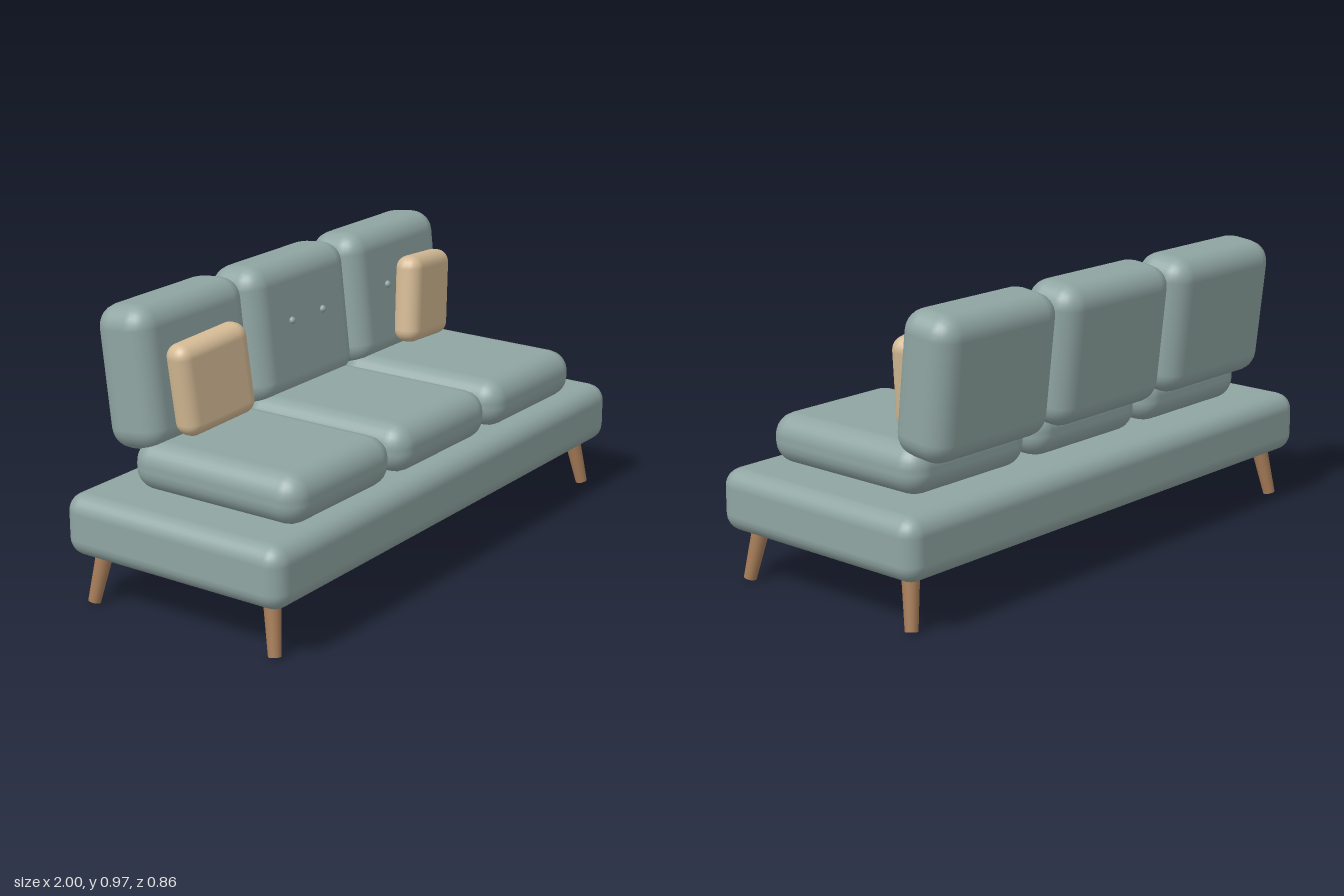
import * as THREE from 'three';
import { RoundedBoxGeometry } from 'three/addons/geometries/RoundedBoxGeometry.js';

const material = (name, color) => {
  const m = new THREE.MeshStandardMaterial({ color });
  m.name = name;
  return m;
};

export function createModel() {
  const fabric = material('sage fabric', 0x8fa5a2);
  const tan = material('tan fabric', 0xd3b994);
  const wood = material('wood', 0xa67c58);

  const sofa = new THREE.Group();
  sofa.name = 'sofa';

  const add = (parent, name, geometry, mat, x, y, z) => {
    const mesh = new THREE.Mesh(geometry, mat);
    mesh.name = name;
    mesh.position.set(x, y, z);
    parent.add(mesh);
    return mesh;
  };

  // Wide padded platform
  add(sofa, 'base', new RoundedBoxGeometry(2, 0.21, 0.86, 3, 0.06), fabric, 0, 0.275, 0);

  // Three seat cushions, each with a leaning, buttoned back cushion
  const seatGeo = new RoundedBoxGeometry(0.54, 0.168, 0.665, 3, 0.075);
  const backGeo = new RoundedBoxGeometry(0.54, 0.475, 0.215, 3, 0.075);
  const buttonGeo = new THREE.SphereGeometry(0.013, 12, 8);
  for (const x of [-0.567, 0, 0.567]) {
    add(sofa, 'seatCushion', seatGeo, fabric, x, 0.456, 0.042);
    const back = new THREE.Group();
    back.name = 'back';
    back.position.set(x, 0.731, -0.302);
    back.rotation.x = -0.11;
    add(back, 'backCushion', backGeo, fabric, 0, 0, 0);
    for (const s of [-1, 1]) add(back, 'button', buttonGeo, fabric, s * 0.087, 0.028, 0.108);
    sofa.add(back);
  }

  // Scatter pillows, turned inward and tipped, mirrored left and right
  const pillowGeo = new RoundedBoxGeometry(0.3, 0.31, 0.1, 3, 0.045);
  for (const s of [-1, 1]) {
    const pillow = add(sofa, 'pillow', pillowGeo, tan, s * 0.603, 0.713, -0.132);
    pillow.rotation.set(-0.03, s * 0.16, -s * 0.11);
  }

  // Tapered legs, splayed outward at each corner
  const up = new THREE.Vector3(0, 1, 0);
  for (const sx of [-1, 1]) {
    for (const sz of [-1, 1]) {
      const top = new THREE.Vector3(sx * 0.902, 0.2, sz * 0.331);
      const foot = new THREE.Vector3(sx * 0.935, 0.005, sz * 0.364);
      const axis = top.clone().sub(foot);
      const mid = top.clone().add(foot).multiplyScalar(0.5);
      const leg = add(sofa, 'leg', new THREE.CylinderGeometry(0.03, 0.021, axis.length(), 16),
        wood, mid.x, mid.y, mid.z);
      leg.quaternion.setFromUnitVectors(up, axis.normalize());
    }
  }
  return sofa;
}
